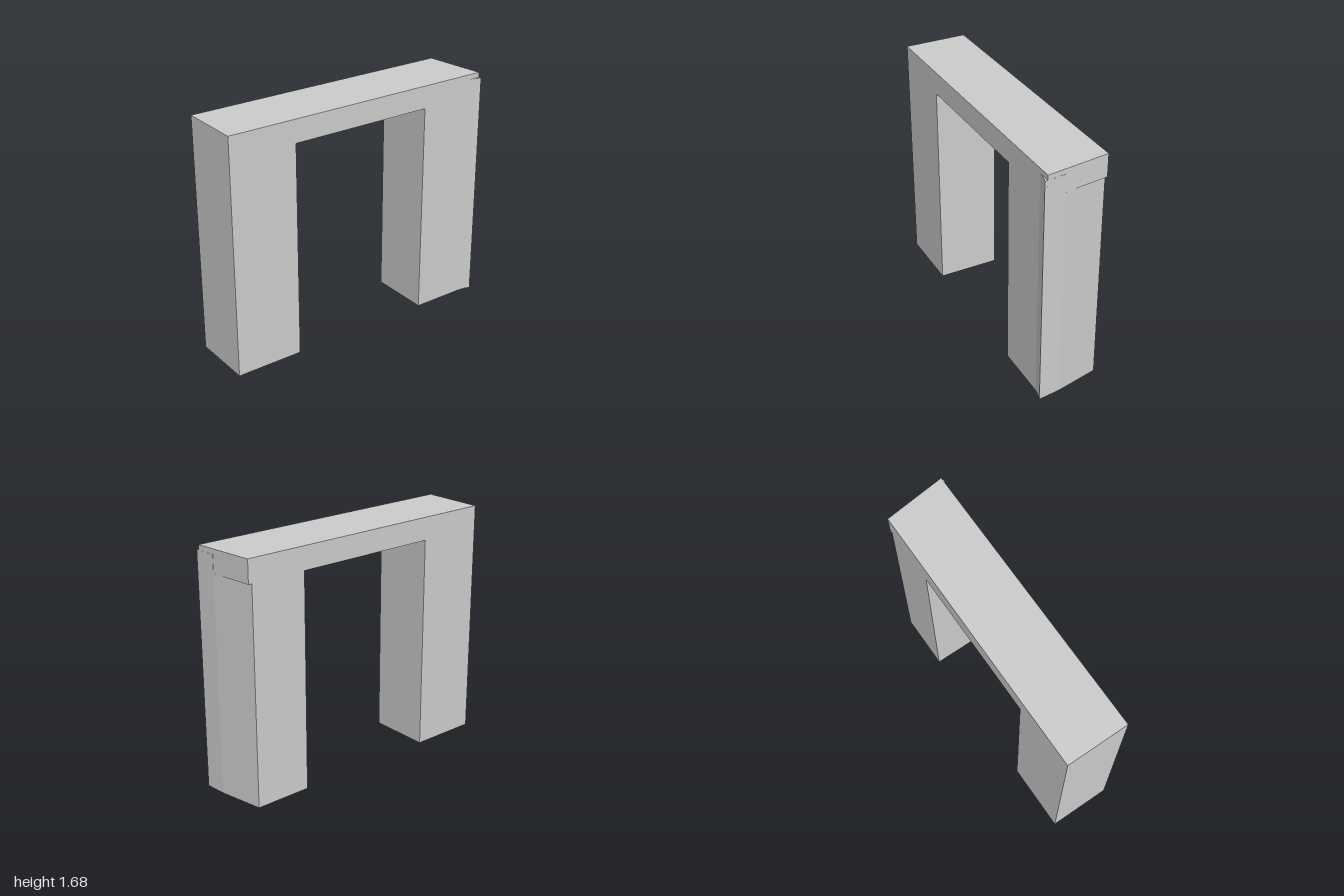
import * as THREE from 'three';

const material = new THREE.MeshStandardMaterial({ color: 0xcccccc, flatShading: true });

// Vertical prism from a plan outline of [x, z] points, between heights y0 and y1
function prism(name, plan, y0, y1) {
  const shape = new THREE.Shape(plan.map(([x, z]) => new THREE.Vector2(x, -z)));
  const geometry = new THREE.ExtrudeGeometry(shape, { depth: y1 - y0, bevelEnabled: false });
  geometry.rotateX(-Math.PI / 2);
  geometry.translate(0, y0, 0);
  const mesh = new THREE.Mesh(geometry, material);
  mesh.name = name;
  return mesh;
}

export function createModel() {
  const group = new THREE.Group();
  group.name = 'archway';
  const back = -0.23, front = 0.21, inner = 0.52, soffit = 1.52, top = 1.68;

  // Slightly bowed outer side of the left pillar, ending in a flared front corner
  const flare = [[0.984, 0.08], [1, 0.23], [0.96, 0.217], [0.91, front]];

  group.add(
    // Square pillar
    prism('rightPillar', [[-1, back], [-inner, back], [-inner, front], [-1, front]], 0, soffit),
    // Pillar with the skewed outer side
    prism('leftPillar', [[inner, back], [0.92, back], ...flare, [inner, front]], 0, soffit),
    // Flared corner rising past the underside of the lintel
    prism('flaredCorner', [[0.9, 0.08], ...flare], soffit, 1.645),
    // Lintel with its angled end overhanging at the back
    prism('lintel', [[-1, back], [0.945, back], [0.998, front], [-1, front]], soffit, top),
  );
  return group;
}
